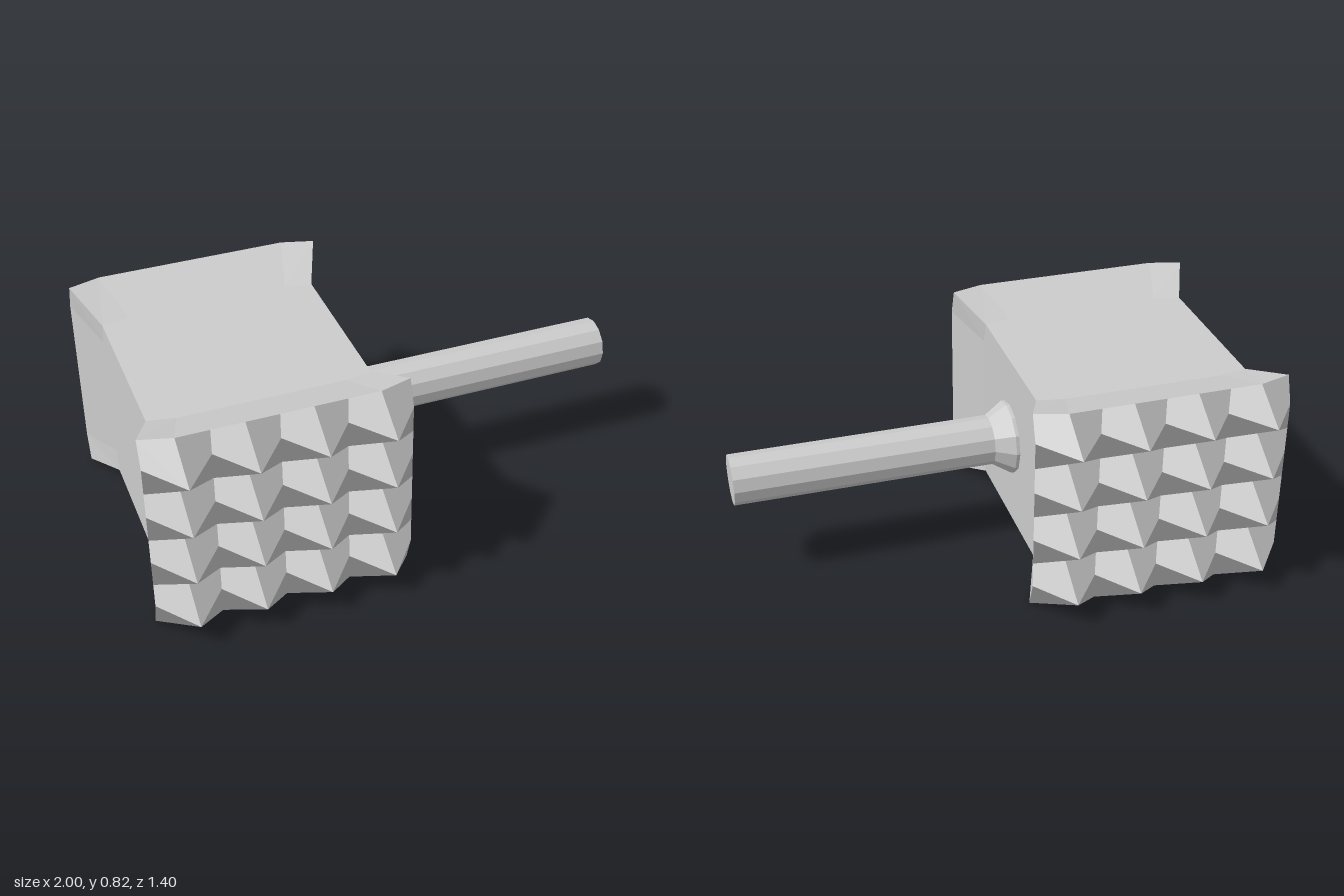
import * as THREE from 'three';

const X0 = -1, X1 = -0.015, Y0 = 0, Y1 = 0.825;   // rim rectangle
const lerp = THREE.MathUtils.lerp;

// Rectangular ring, counter-clockwise from +z, with its corners swept back in z
function ring(x0, x1, y0, y1, z, zCorner) {
  const corners = [[x0, y0], [x1, y0], [x1, y1], [x0, y1]];
  return corners.flatMap((a, k) => {
    const b = corners[(k + 1) % 4];
    return [0, 1 / 8, 7 / 8].map(t =>
      [lerp(a[0], b[0], t), lerp(a[1], b[1], t), t === 0 ? zCorner : z]);
  });
}

// Block between the two striking faces, flaring out to each rim
function headGeometry() {
  const core = [-0.925, -0.095, 0.067, 0.757], rim = [X0, X1, Y0, Y1];
  const rings = [
    ring(...rim, -0.545, -0.51),
    ring(...core, -0.33, -0.31),
    ring(...core, 0.345, 0.325),
    ring(...rim, 0.54, 0.505),
  ];
  const n = rings[0].length, index = [];
  for (let k = 0; k < rings.length - 1; k++) {
    for (let i = 0; i < n; i++) {
      const a = k * n + i, b = k * n + (i + 1) % n;
      index.push(a, b, b + n, a, b + n, a + n);
    }
  }
  const g = new THREE.BufferGeometry();
  g.setAttribute('position', new THREE.Float32BufferAttribute(rings.flat(2), 3));
  g.setIndex(index);
  g.computeVertexNormals();
  return g;
}

// Striking face: 4 x 4 spikes on an 8 x 8 grid, each quad shaded as one facet
function spikeGeometry(sign, base, corner, tip) {
  const point = ([i, j]) => {
    const isTip = i % 2 === 1 && j % 2 === 1;
    const isCorner = i % 8 === 0 && j % 8 === 0;
    return new THREE.Vector3(lerp(X0, X1, i / 8), lerp(Y0, Y1, j / 8),
      sign * (isTip ? tip : isCorner ? corner : base));
  };
  const position = [], normal = [];
  for (let i = 0; i < 8; i++) {
    for (let j = 0; j < 8; j++) {
      const cell = [[i, j], [i + 1, j], [i + 1, j + 1], [i, j + 1]];
      if (sign < 0) cell.reverse();
      // start each quad at the tip so it splits along the spike's ridge
      while (!(cell[0][0] % 2 && cell[0][1] % 2)) cell.push(cell.shift());
      const p = cell.map(point);
      const up = p[2].clone().sub(p[0]).cross(p[3].clone().sub(p[1])).normalize();
      for (const k of [0, 1, 2, 0, 2, 3]) {
        position.push(...p[k].toArray());
        normal.push(...up.toArray());
      }
    }
  }
  const g = new THREE.BufferGeometry();
  g.setAttribute('position', new THREE.Float32BufferAttribute(position, 3));
  g.setAttribute('normal', new THREE.Float32BufferAttribute(normal, 3));
  return g;
}

// Twelve-sided handle with a flared collar against the head
function handleGeometry() {
  const profile = [[0, -0.1], [0.143, -0.1], [0.143, -0.082], [0.097, -0.01], [0.097, 1], [0, 1]];
  return new THREE.LatheGeometry(profile.map(([r, h]) => new THREE.Vector2(r, h)), 12)
    .rotateZ(-Math.PI / 2)
    .translate(0, 0.422, 0.006);
}

export function createModel() {
  const group = new THREE.Group();
  group.name = 'meatMallet';
  const flat = new THREE.MeshStandardMaterial({ color: 0xcccccc, flatShading: true });
  const faceted = new THREE.MeshStandardMaterial({ color: 0xcccccc });
  const add = (name, geometry, material) => {
    const mesh = new THREE.Mesh(geometry, material);
    mesh.name = name;
    group.add(mesh);
  };
  add('head', headGeometry(), flat);
  add('frontSpikes', spikeGeometry(1, 0.54, 0.505, 0.7), faceted);
  add('backSpikes', spikeGeometry(-1, 0.545, 0.51, 0.705), faceted);
  add('handle', handleGeometry(), flat);
  return group;
}
